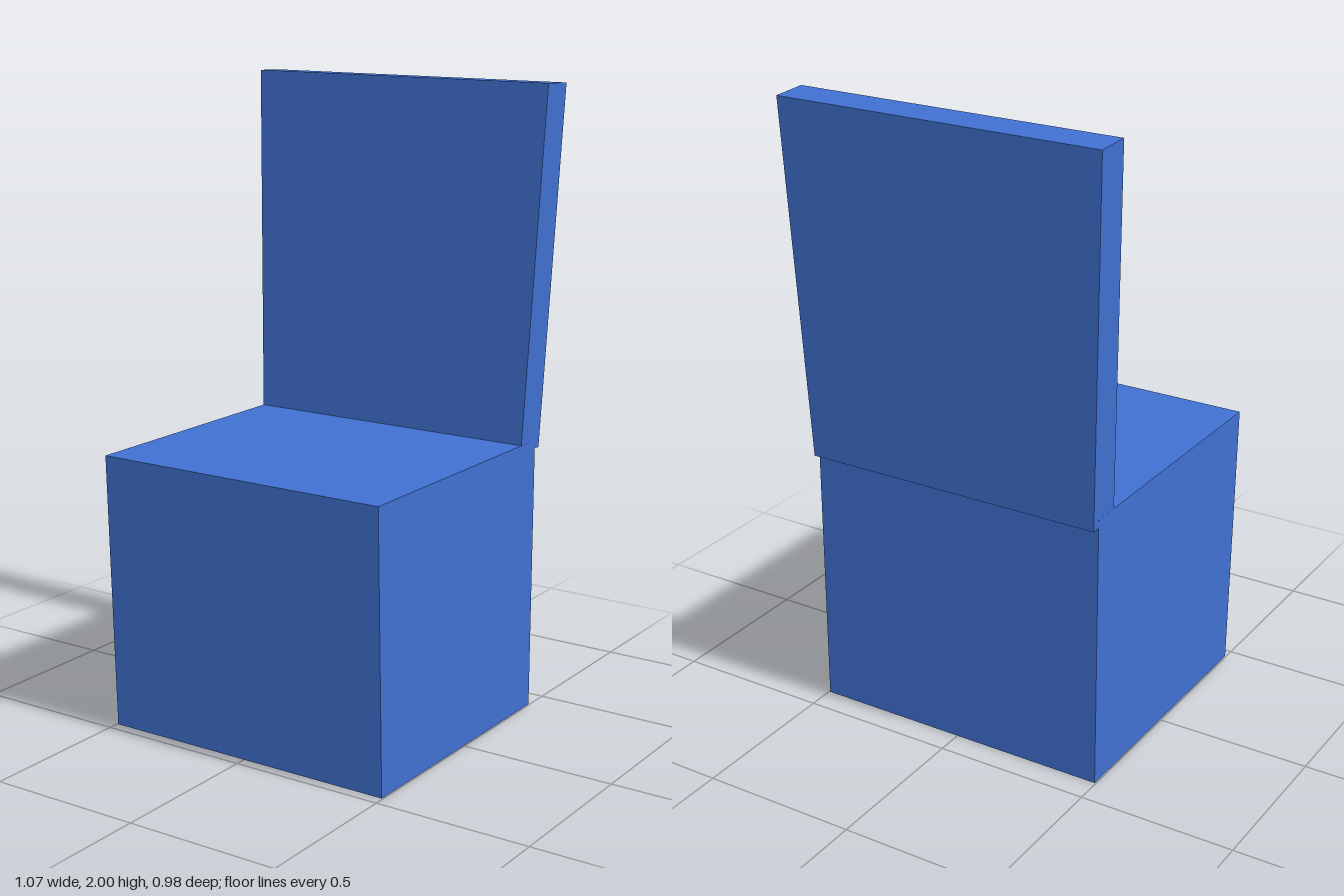
import * as THREE from 'three';

const material = new THREE.MeshStandardMaterial({ color: 0x4070d0, flatShading: true });

// Box whose corners follow a side profile: [z, y] for each corner, with half widths below and above
function taperedBox(name, { bottomFront, bottomBack, topFront, topBack }, halfBottom, halfTop) {
  const geometry = new THREE.BoxGeometry(2, 2, 2);
  const p = geometry.attributes.position;
  for (let i = 0; i < p.count; i++) {
    const top = p.getY(i) > 0;
    const front = p.getZ(i) > 0;
    const [z, y] = top ? (front ? topFront : topBack) : (front ? bottomFront : bottomBack);
    p.setXYZ(i, p.getX(i) * (top ? halfTop : halfBottom), y, z);
  }
  geometry.computeVertexNormals();
  const mesh = new THREE.Mesh(geometry, material);
  mesh.name = name;
  return mesh;
}

export function createModel() {
  const chair = new THREE.Group();
  chair.name = 'chair';

  // Solid seat block, front face leaning slightly forward
  chair.add(taperedBox('seat', {
    bottomFront: [0.465, 0], bottomBack: [-0.415, 0],
    topFront: [0.492, 0.885], topBack: [-0.415, 0.885],
  }, 0.496, 0.496));

  // Reclined backrest, widening towards the top and overhanging the seat at the rear
  chair.add(taperedBox('backrest', {
    bottomFront: [-0.326, 0.862], bottomBack: [-0.441, 0.857],
    topFront: [-0.377, 2], topBack: [-0.492, 1.995],
  }, 0.495, 0.533));

  return chair;
}
